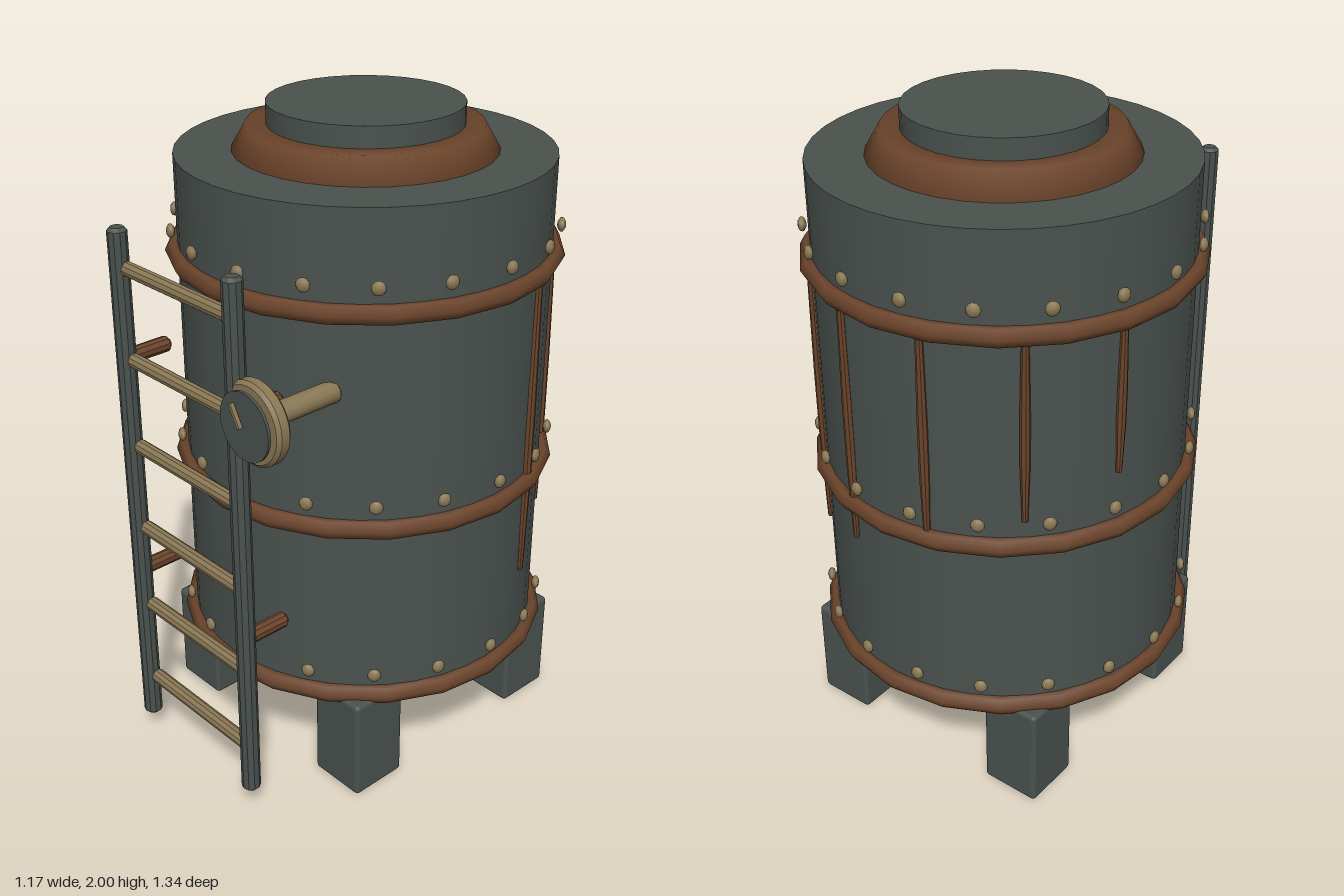
import * as THREE from 'three';
import { toCreasedNormals } from 'three/addons/utils/BufferGeometryUtils.js';
import { RoundedBoxGeometry } from 'three/addons/geometries/RoundedBoxGeometry.js';

const mat = (name, color) => {
  const m = new THREE.MeshStandardMaterial({ color });
  m.name = name;
  return m;
};

// Solid of revolution around y, from [radius, height] pairs, bottom to top.
const turned = (profile, sides) => toCreasedNormals(
  new THREE.LatheGeometry(profile.map(([r, y]) => new THREE.Vector2(r, y)), sides), 0.6);

// Rod centred on the origin along y, with bevelled ends.
const rod = (radius, length, sides = 12, bevel = 0.01) => {
  const h = length / 2;
  return turned([[0, -h], [radius - bevel, -h], [radius, -h + bevel],
    [radius, h - bevel], [radius - bevel, h], [0, h]], sides);
};

export function createModel() {
  const iron = mat('dark iron', 0x4a524e);
  const rust = mat('rust', 0x6b442b);
  const brass = mat('brass', 0x8a7855);

  const model = new THREE.Group();
  model.name = 'storageTank';
  const tank = new THREE.Group();
  tank.name = 'tank';
  tank.position.z = -0.083;
  model.add(tank);

  const add = (parent, name, geometry, material, x = 0, y = 0, z = 0) => {
    const mesh = new THREE.Mesh(geometry, material);
    mesh.name = name;
    mesh.position.set(x, y, z);
    parent.add(mesh);
    return mesh;
  };

  // Tank body, lid collar and lid
  const R = 0.55;
  add(tank, 'body', new THREE.CylinderGeometry(R, R, 1.535, 40), iron, 0, 1.0975);
  add(tank, 'lidCollar', new THREE.TorusGeometry(0.3, 0.085, 6, 32).rotateX(-Math.PI / 2), rust, 0, 1.865);
  add(tank, 'lid', new THREE.CylinderGeometry(0.285, 0.285, 0.15, 32), iron, 0, 1.925);

  // Hoops, each with a row of rivets above it
  const hoop = new THREE.TorusGeometry(0.557, 0.03, 6, 20).rotateX(-Math.PI / 2);
  const rivet = new THREE.SphereGeometry(0.021, 8, 6).scale(0.62, 1, 1);
  for (const y of [0.347, 0.923, 1.577]) {
    add(tank, 'hoop', hoop, rust, 0, y);
    for (let i = 0; i < 18; i++) {
      const a = i * Math.PI / 9;
      add(tank, 'rivet', rivet, brass, 0.57 * Math.cos(a), y + 0.078, -0.57 * Math.sin(a)).rotation.y = a;
    }
  }

  // Rust streaks round the back, shorter towards the model's right
  for (let i = 0; i < 6; i++) {
    const a = Math.PI * (0.1 + 0.16 * i);
    const bottom = 0.605 + 0.1 * i, length = 1.555 - bottom;
    const streak = turned([[0, 0], [0.009, 0], [0.015, length * 0.35],
      [0.015, length * 0.6], [0.011, length], [0, length]], 8);
    add(tank, 'rustStreak', streak, rust, 0.553 * Math.cos(a), bottom, -0.553 * Math.sin(a));
  }

  // Four legs
  const leg = new RoundedBoxGeometry(0.19, 0.335, 0.19, 2, 0.014);
  for (const x of [-0.343, 0.343])
    for (const z of [-0.34, 0.34]) add(tank, 'leg', leg, iron, x, 0.1675, z);

  // Ladder: rails, wall brackets and rungs
  const ladder = new THREE.Group();
  ladder.name = 'ladder';
  model.add(ladder);
  const rail = rod(0.029, 1.65, 10);
  const bracket = rod(0.024, 0.14, 10).rotateX(Math.PI / 2);
  for (const x of [-0.25, 0.25]) {
    add(ladder, 'rail', rail, iron, x, 0.9, 0.614);
    for (const y of [0.623, 1.335]) add(ladder, 'bracket', bracket, rust, x, y, 0.535);
  }
  const rung = rod(0.022, 0.455, 10, 0.006).rotateZ(Math.PI / 2);
  for (let i = 0; i < 6; i++) add(ladder, 'rung', rung, brass, 0, 0.225 + 0.2766 * i, 0.607);

  // Pressure gauge on a pipe
  const gauge = new THREE.Group();
  gauge.name = 'gauge';
  gauge.position.set(0.328, 1.343, 0);
  model.add(gauge);
  add(gauge, 'pipe', rod(0.032, 0.265, 12).rotateX(Math.PI / 2), brass, 0, 0, 0.467);
  add(gauge, 'housing', rod(0.12, 0.046, 28, 0.01).rotateX(Math.PI / 2), brass, 0, 0, 0.614);
  add(gauge, 'dial', new THREE.CylinderGeometry(0.098, 0.098, 0.009, 28).rotateX(Math.PI / 2), iron, 0, 0, 0.65);
  add(gauge, 'needle', new THREE.BoxGeometry(0.01, 0.07, 0.012), brass, -0.021, 0.028, 0.664).rotation.z = 0.52;

  return model;
}
